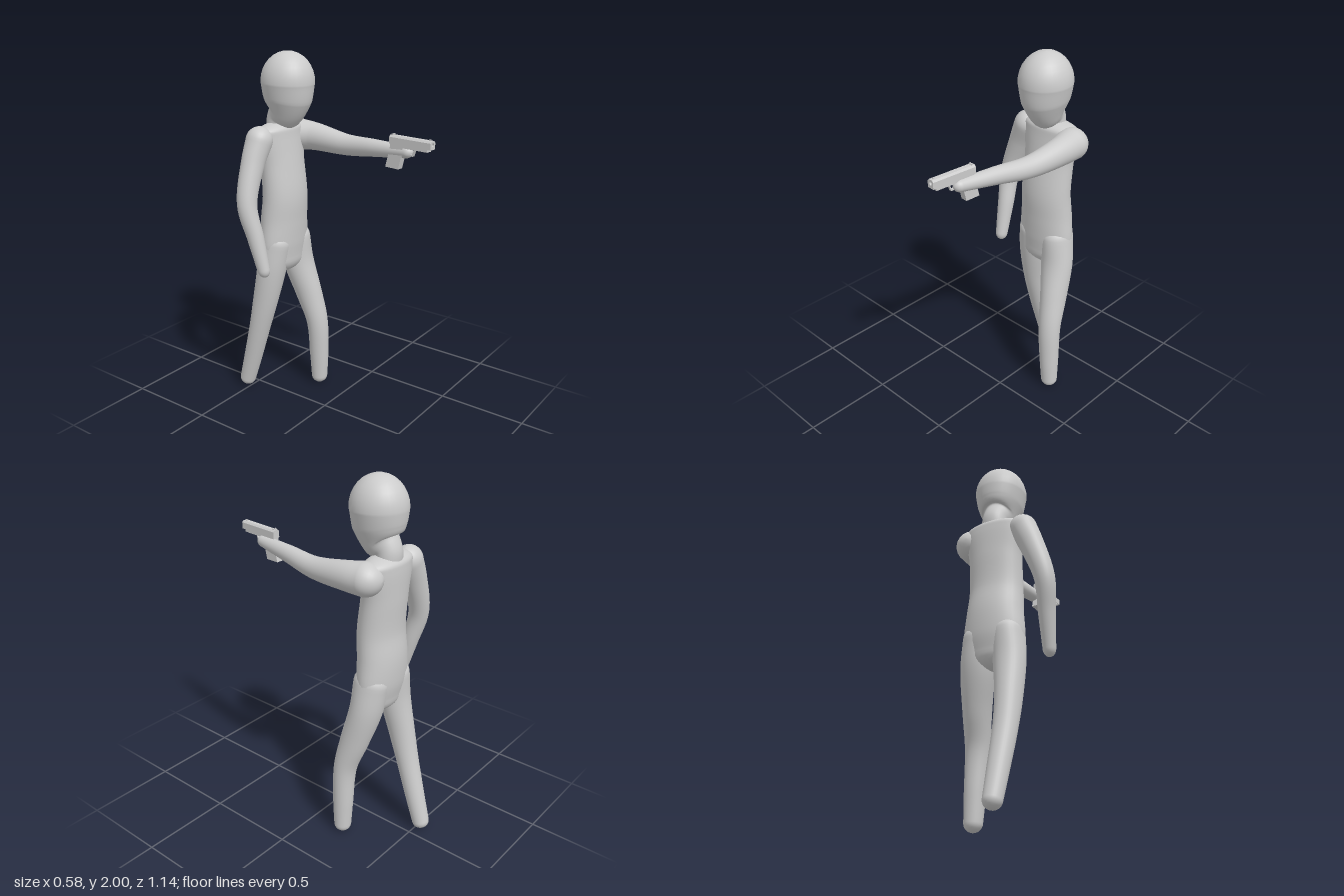
import * as THREE from 'three';

const material = new THREE.MeshStandardMaterial({ color: 0xcccccc });
const X = new THREE.Vector3(1, 0, 0);
const Y = new THREE.Vector3(0, 1, 0);

function addMesh(parent, name, geometry) {
  const mesh = new THREE.Mesh(geometry, material);
  mesh.name = name;
  parent.add(mesh);
  return mesh;
}

// Smooth loft through stations [x, y, z, radiusU, radiusV]; U lies along ref.
// Both ends are closed with rounded caps of the given heights.
function loft(stations, ref, startCap, endCap, sides = 32, steps = 32, capSteps = 8) {
  const path = new THREE.CatmullRomCurve3(stations.map(s => new THREE.Vector3(s[0], s[1], s[2])));
  const radii = new THREE.CatmullRomCurve3(stations.map(s => new THREE.Vector3(s[3], s[4], 0)));
  const rings = [];
  const addRing = (t, offset, scale) => {
    // Sample by station so that position and radius stay in step
    const dir = path.getTangent(t);
    const u = ref.clone().addScaledVector(dir, -ref.dot(dir)).normalize();
    const v = dir.clone().cross(u);
    const r = radii.getPoint(t);
    const c = path.getPoint(t).addScaledVector(dir, offset);
    rings.push({ c, u: u.multiplyScalar(r.x * scale), v: v.multiplyScalar(r.y * scale) });
  };
  for (let i = capSteps; i > 0; i--) {
    const a = (i / capSteps) * Math.PI / 2;
    addRing(0, -startCap * Math.sin(a), Math.max(Math.cos(a), 0.001));
  }
  for (let i = 0; i <= steps; i++) addRing(i / steps, 0, 1);
  for (let i = 1; i <= capSteps; i++) {
    const a = (i / capSteps) * Math.PI / 2;
    addRing(1, endCap * Math.sin(a), Math.max(Math.cos(a), 0.001));
  }

  const positions = [];
  const index = [];
  rings.forEach(({ c, u, v }, i) => {
    for (let j = 0; j < sides; j++) {
      const a = (j / sides) * Math.PI * 2;
      const p = c.clone().addScaledVector(u, Math.cos(a)).addScaledVector(v, Math.sin(a));
      positions.push(p.x, p.y, p.z);
      if (i === 0) continue;
      const k = (j + 1) % sides;
      const b = (i - 1) * sides;
      const t = i * sides;
      index.push(b + j, b + k, t + k, b + j, t + k, t + j);
    }
  });
  const geometry = new THREE.BufferGeometry();
  geometry.setAttribute('position', new THREE.Float32BufferAttribute(positions, 3));
  geometry.setIndex(index);
  geometry.computeVertexNormals();
  return geometry;
}

const polygon = points => points.map(([a, b]) => new THREE.Vector2(a, b));

// Side profile in (z, y), extruded across x and centred
function sideExtrude(shape, width) {
  return new THREE.ExtrudeGeometry(shape, { depth: width, bevelEnabled: false })
    .translate(0, 0, -width / 2)
    .rotateY(-Math.PI / 2);
}

function createPistol() {
  const pistol = new THREE.Group();
  pistol.name = 'pistol';

  // Slide with chamfered top edges and an open bore
  const section = new THREE.Shape(polygon([
    [-0.02, -0.024], [0.02, -0.024], [0.02, 0.01], [0.012, 0.019], [-0.012, 0.019], [-0.02, 0.01],
  ]));
  section.holes.push(new THREE.Path().absarc(0, 0, 0.009, 0, Math.PI * 2, true));
  addMesh(pistol, 'slide', new THREE.ExtrudeGeometry(section, { depth: 0.25, bevelEnabled: false })
    .translate(0, 0, -0.125));
  addMesh(pistol, 'barrel', new THREE.CylinderGeometry(0.009, 0.009, 0.22, 16)
    .rotateX(Math.PI / 2).translate(0, 0, -0.0155));

  // Frame and raked grip
  addMesh(pistol, 'frame', new THREE.BoxGeometry(0.034, 0.016, 0.225).translate(0, -0.03, -0.008));
  const grip = new THREE.Shape(polygon([
    [-0.118, -0.024], [-0.122, -0.055], [-0.146, -0.148], [-0.066, -0.15], [-0.044, -0.06], [-0.042, -0.024],
  ]));
  addMesh(pistol, 'grip', sideExtrude(grip, 0.036));

  // Trigger and its guard
  const guard = new THREE.Shape(polygon([
    [-0.048, -0.03], [-0.048, -0.074], [0.014, -0.074], [0.03, -0.03],
  ]));
  guard.holes.push(new THREE.Path(polygon([
    [-0.042, -0.036], [0.022, -0.036], [0.009, -0.067], [-0.042, -0.067],
  ])));
  addMesh(pistol, 'triggerGuard', sideExtrude(guard, 0.014));
  addMesh(pistol, 'trigger', new THREE.BoxGeometry(0.008, 0.028, 0.006).translate(0, -0.05, -0.012));

  // Sights
  addMesh(pistol, 'frontSight', new THREE.BoxGeometry(0.006, 0.008, 0.01).translate(0, 0.021, 0.108));
  for (const side of [-1, 1]) {
    addMesh(pistol, 'rearSight', new THREE.BoxGeometry(0.006, 0.008, 0.01).translate(side * 0.007, 0.021, -0.112));
  }

  pistol.position.set(0.121, 1.6, 0.445);
  pistol.rotation.y = -0.08;
  return pistol;
}

export function createModel() {
  const model = new THREE.Group();
  model.name = 'aimingFigure';

  addMesh(model, 'head', loft([
    [0.05, 1.58, -0.35, 0.07, 0.06],
    [0.05, 1.64, -0.34, 0.07, 0.07],
    [0.05, 1.68, -0.302, 0.092, 0.105],
    [0.05, 1.75, -0.284, 0.122, 0.137],
    [0.05, 1.84, -0.28, 0.14, 0.148],
  ], X, 0.02, 0.16));

  addMesh(model, 'torso', loft([
    [0.05, 0.86, -0.318, 0.155, 0.088],
    [0.05, 0.95, -0.322, 0.17, 0.102],
    [0.05, 1.08, -0.32, 0.158, 0.108],
    [0.05, 1.22, -0.31, 0.15, 0.104],
    [0.05, 1.4, -0.325, 0.15, 0.096],
    [0.05, 1.53, -0.336, 0.17, 0.087],
    [0.05, 1.58, -0.338, 0.175, 0.083],
  ], X, 0.09, 0.045));

  // Left leg stands forward
  addMesh(model, 'leftLeg', loft([
    [0.135, 0.95, -0.318, 0.085, 0.095],
    [0.152, 0.8, -0.303, 0.09, 0.087],
    [0.18, 0.6, -0.25, 0.074, 0.078],
    [0.199, 0.42, -0.203, 0.064, 0.062],
    [0.21, 0.2, -0.197, 0.055, 0.056],
    [0.215, 0.05, -0.198, 0.048, 0.047],
  ], X, 0.08, 0.046));

  // Right leg trails behind
  addMesh(model, 'rightLeg', loft([
    [-0.032, 0.95, -0.325, 0.085, 0.095],
    [-0.048, 0.8, -0.338, 0.084, 0.083],
    [-0.066, 0.6, -0.375, 0.069, 0.073],
    [-0.073, 0.42, -0.418, 0.061, 0.061],
    [-0.073, 0.2, -0.48, 0.053, 0.053],
    [-0.073, 0.055, -0.523, 0.047, 0.047],
  ], X, 0.08, 0.044));

  // Left arm reaches forward
  addMesh(model, 'leftArm', loft([
    [0.197, 1.53, -0.32, 0.086, 0.09],
    [0.21, 1.526, -0.22, 0.076, 0.073],
    [0.197, 1.511, 0, 0.057, 0.055],
    [0.165, 1.526, 0.2, 0.046, 0.044],
    [0.134, 1.54, 0.41, 0.032, 0.032],
  ], Y, 0.09, 0.036));

  // Right arm hangs with a bent elbow
  addMesh(model, 'rightArm', loft([
    [-0.12, 1.545, -0.342, 0.075, 0.072],
    [-0.172, 1.43, -0.346, 0.066, 0.062],
    [-0.24, 1.22, -0.335, 0.054, 0.054],
    [-0.231, 1.04, -0.29, 0.045, 0.046],
    [-0.222, 0.865, -0.247, 0.034, 0.035],
  ], X, 0.075, 0.044));

  model.add(createPistol());
  return model;
}
